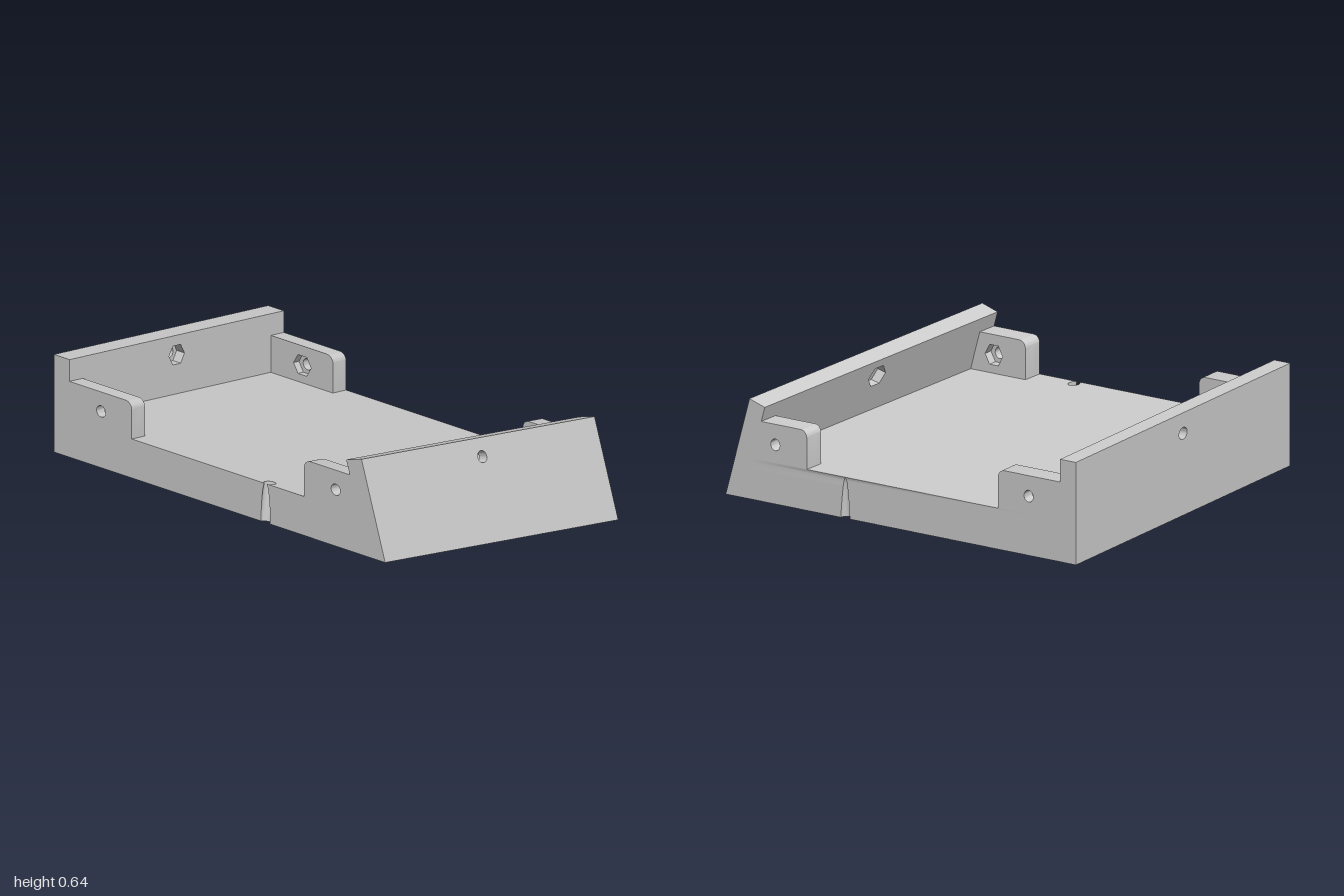
import * as THREE from 'three';
import { toCreasedNormals } from 'three/addons/utils/BufferGeometryUtils.js';

const DEPTH = 0.69;      // half depth of the tray
const FLOOR = 0.18;      // floor thickness
const LEAN = 0.307;      // inward lean of the slanted wall
const HOLE = 0.026, NUT = 0.05;
const material = new THREE.MeshStandardMaterial({ color: 0xcccccc });

export function createModel() {
  const group = new THREE.Group();
  group.name = 'slopedTray';

  // Skew the upright parts: the tray rises to the front, its +x side tapers in
  const add = (name, geometry) => {
    const p = geometry.attributes.position;
    for (let i = 0; i < p.count; i++) {
      const x = p.getX(i), z = p.getZ(i);
      if (x > 0) p.setX(i, x - 0.077 * z);
      p.setY(i, p.getY(i) + 0.14 * (z + DEPTH));
    }
    const mesh = new THREE.Mesh(toCreasedNormals(geometry, 0.6), material);
    mesh.name = name;
    group.add(mesh);
  };

  // Plate with a round bolt hole or a hexagonal nut pocket
  const plate = (draw, cx, cy, hex, thickness) => {
    const shape = new THREE.Shape();
    draw(shape);
    const hole = new THREE.Path();
    if (hex) {
      hole.setFromPoints(Array.from({ length: 6 }, (_, i) => new THREE.Vector2(
        cx + NUT * Math.cos(i * Math.PI / 3), cy + NUT * Math.sin(i * Math.PI / 3))));
      hole.closePath();
    } else hole.absarc(cx, cy, HOLE, 0, Math.PI * 2, true);
    shape.holes.push(hole);
    return new THREE.ExtrudeGeometry(shape, { depth: thickness, bevelEnabled: false, curveSegments: 12 });
  };

  // Side walls, each an outer layer with a bolt hole and an inner one with a pocket
  const wall = (height) => (s) => {
    s.moveTo(-DEPTH, 0);
    s.lineTo(DEPTH, 0);
    s.lineTo(DEPTH, height);
    s.lineTo(-DEPTH, height);
    s.closePath();
  };
  for (const hex of [false, true]) {
    const layer = hex ? 'Inner' : 'Outer';
    const right = plate(wall(0.45), 0, 0.36, hex, 0.045);
    right.rotateY(Math.PI / 2).translate(hex ? -0.955 : -1, 0, 0);
    add('rightWall' + layer, right);

    const left = plate(wall(0.44), 0, 0.36, hex, 0.0475);
    left.rotateY(Math.PI / 2).translate(hex ? 0.85 : 0.8975, 0, 0);
    const p = left.attributes.position;
    for (let i = 0; i < p.count; i++) {
      const y = p.getY(i) * (1 - 0.6 * (0.945 - p.getX(i))); // top edge square to the lean
      p.setXY(i, p.getX(i) - LEAN * y, y);
    }
    add('leftWall' + layer, left);
  }

  // Corner tabs with one rounded corner
  const TOP = 0.35, R = 0.035;
  const rightTab = (s) => {
    s.moveTo(-0.91, FLOOR);
    s.lineTo(-0.555, FLOOR);
    s.lineTo(-0.555, TOP - R);
    s.absarc(-0.555 - R, TOP - R, R, 0, Math.PI / 2, false);
    s.lineTo(-0.91, TOP);
    s.closePath();
  };
  const leftTab = (s) => {
    s.moveTo(0.4825, FLOOR);
    s.lineTo(0.85 - LEAN * FLOOR, FLOOR);
    s.lineTo(0.85 - LEAN * TOP, TOP);
    s.lineTo(0.4825 + R, TOP);
    s.absarc(0.4825 + R, TOP - R, R, Math.PI / 2, Math.PI, false);
    s.closePath();
  };
  for (const [side, draw, cx] of [['Right', rightTab, -0.73], ['Left', leftTab, 0.6625]]) {
    for (const front of [true, false]) {
      for (const hex of [false, true]) {
        const thickness = hex ? 0.035 : 0.05;
        const middle = (hex ? 0.6225 : 0.665) * (front ? 1 : -1);
        const tab = plate(draw, cx, 0.26, hex, thickness);
        tab.translate(0, 0, middle - thickness / 2);
        add((front ? 'front' : 'back') + side + 'Tab' + (hex ? 'Inner' : 'Outer'), tab);
      }
    }
  }

  // Floor: stacked outlines whose front and back edges carry a narrowing groove
  const LEVELS = 12, ARC = 14;
  const outline = (t) => {
    const pts = [];
    const point = (x, w) => pts.push(new THREE.Vector2(x, w));
    const groove = (s, r, d) => {
      const a0 = Math.asin(d / r);
      for (let i = 0; i <= ARC; i++) {
        const a = Math.PI + a0 - (Math.PI + 2 * a0) * i / ARC;
        point(0.2625 + s * r * Math.cos(a), s * (-DEPTH + d + r * Math.sin(a)));
      }
    };
    const end = 0.85 - LEAN * FLOOR * t;
    point(-0.91, -DEPTH);
    groove(1, 0.026, 0.025 * t);
    point(end, -DEPTH);
    point(end, DEPTH);
    groove(-1, Math.max(0.001, 0.026 * Math.sqrt(1 - t)), 0);
    point(-0.91, DEPTH);
    return pts;
  };
  const rings = Array.from({ length: LEVELS + 1 }, (_, k) => outline(k / LEVELS));
  const n = rings[0].length, positions = [], index = [];
  rings.forEach((ring, k) => ring.forEach((q) => positions.push(q.x, FLOOR * k / LEVELS, -q.y)));
  for (let k = 0; k < LEVELS; k++) {
    for (let i = 0; i < n; i++) {
      const j = (i + 1) % n, a = k * n, b = a + n;
      index.push(a + i, a + j, b + j, a + i, b + j, b + i);
    }
  }
  for (const [a, b, c] of THREE.ShapeUtils.triangulateShape(rings[0], [])) index.push(a, c, b);
  const top = LEVELS * n;
  for (const [a, b, c] of THREE.ShapeUtils.triangulateShape(rings[LEVELS], [])) index.push(top + a, top + b, top + c);
  const floor = new THREE.BufferGeometry();
  floor.setAttribute('position', new THREE.Float32BufferAttribute(positions, 3));
  floor.setIndex(index);
  add('floor', floor);

  return group;
}
